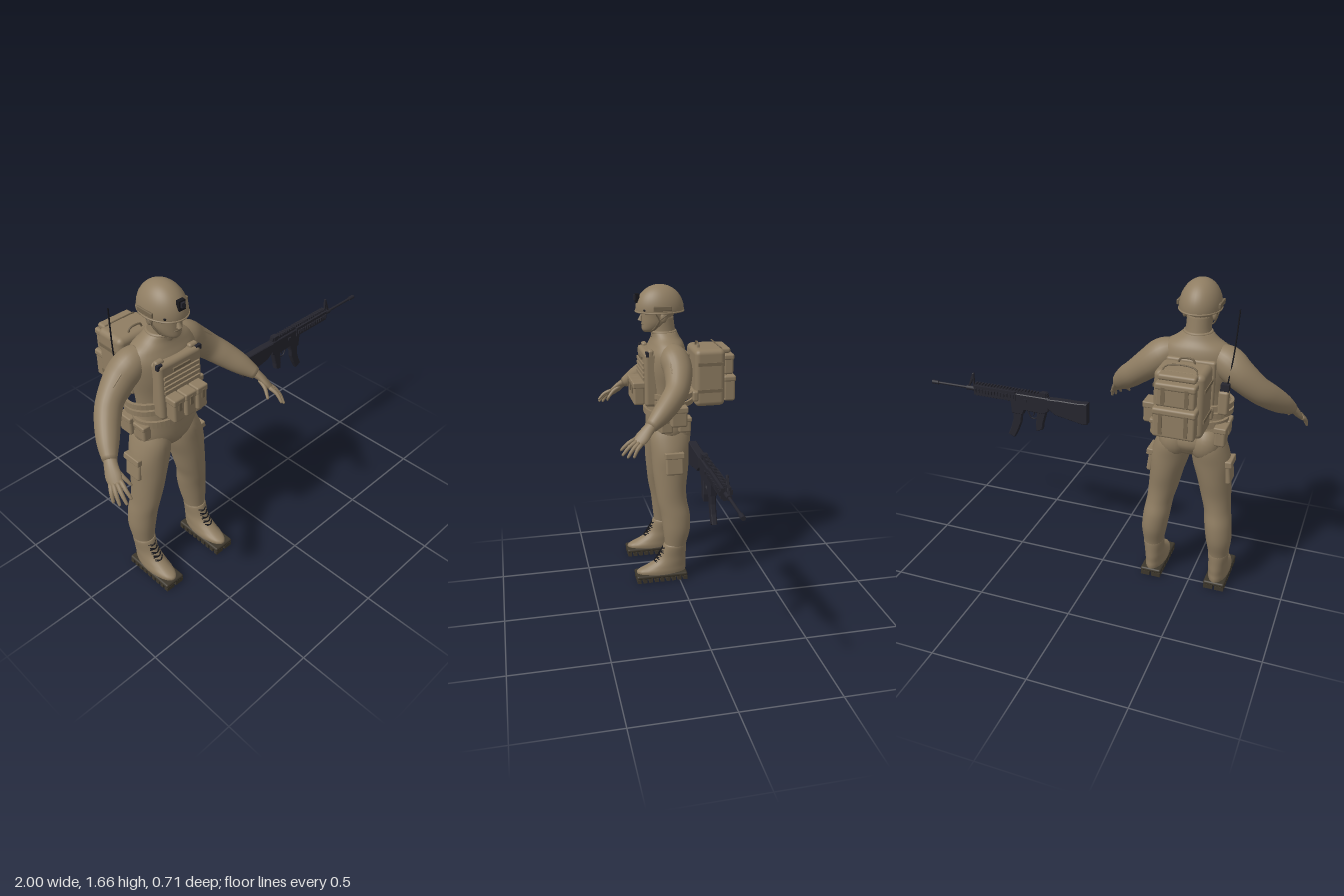
import * as THREE from 'three';
import { RoundedBoxGeometry } from 'three/addons/geometries/RoundedBoxGeometry.js';

const mat = (name, color) => Object.assign(new THREE.MeshStandardMaterial({ color }), { name });

export function createModel() {
  const tan = mat('tan cloth', 0x8f7d62), trim = mat('dark tan trim', 0x75664f), sole = mat('sole brown', 0x3d372c);
  const metal = mat('gunmetal', 0x25252e), black = mat('black', 0x16161b);
  const shell = mat('helmet tan', 0x8f7d62);
  shell.side = THREE.DoubleSide;

  const model = new THREE.Group(), soldier = new THREE.Group(), rifle = new THREE.Group();
  model.name = 'soldierAndRifle'; soldier.name = 'soldier'; rifle.name = 'rifle';
  soldier.position.x = -0.47;
  model.add(soldier, rifle);

  const add = (parent, name, geo, m, x = 0, y = 0, z = 0) => {
    const mesh = new THREE.Mesh(geo, m);
    mesh.name = name; mesh.position.set(x, y, z);
    parent.add(mesh);
    return mesh;
  };
  const box = (p, name, m, w, h, d, x, y, z) => add(p, name, new THREE.BoxGeometry(w, h, d), m, x, y, z);
  const soft = (p, name, m, w, h, d, x, y, z, r = 0.012) =>
    add(p, name, new RoundedBoxGeometry(w, h, d, 3, Math.min(r, w / 2.1, h / 2.1, d / 2.1)), m, x, y, z);
  const ball = (p, name, m, rx, ry, rz, x, y, z) =>
    add(p, name, new THREE.SphereGeometry(1, 20, 14).scale(rx, ry, rz), m, x, y, z);
  const tube = (p, name, m, pts, r, n = 16) =>
    add(p, name, new THREE.TubeGeometry(new THREE.CatmullRomCurve3(pts.map(q => new THREE.Vector3(...q))), n, r, 6), m);

  // Smooth skin over elliptical rings [x, y, z, radiusA, radiusB]; without a ref the rings stay level
  function sweep(rings, ref = null, seg = 24, steps = 5) {
    const path = new THREE.CatmullRomCurve3(rings.map(r => new THREE.Vector3(r[0], r[1], r[2])), false, 'catmullrom', 0.5);
    const size = new THREE.CatmullRomCurve3(rings.map(r => new THREE.Vector3(r[3], r[4], 0)), false, 'catmullrom', 0.5);
    const n = (rings.length - 1) * steps, pos = [], idx = [];
    const axis = ref ? new THREE.Vector3(...ref) : new THREE.Vector3(0, 0, 1);
    for (let i = 0; i <= n; i++) {
      const c = path.getPoint(i / n), s = size.getPoint(i / n);
      const t = ref ? path.getTangent(i / n) : new THREE.Vector3(0, 1, 0);
      const u = t.clone().cross(axis).normalize(), v = t.clone().cross(u);
      for (let j = 0; j < seg; j++) {
        const a = j / seg * Math.PI * 2;
        const q = c.clone().addScaledVector(u, s.x * Math.cos(a)).addScaledVector(v, s.y * Math.sin(a));
        pos.push(q.x, q.y, q.z);
        const k = (j + 1) % seg, A = i * seg + j, B = i * seg + k;
        if (i < n) idx.push(A, B, A + seg, B, B + seg, A + seg);
      }
    }
    const first = pos.length / 3, last = n * seg;
    pos.push(...path.getPoint(0).toArray(), ...path.getPoint(1).toArray());
    for (let j = 0; j < seg; j++) {
      const k = (j + 1) % seg;
      idx.push(first, k, j, first + 1, last + j, last + k);
    }
    const g = new THREE.BufferGeometry();
    g.setAttribute('position', new THREE.Float32BufferAttribute(pos, 3));
    g.setIndex(idx);
    g.computeVertexNormals();
    return g;
  }
  // Flat oval belt around the body
  function belt(name, y, h, rx, rz, z) {
    const s = new THREE.Shape().absellipse(0, 0, rx, rz, 0, Math.PI * 2);
    s.holes.push(new THREE.Path().absellipse(0, 0, rx - 0.015, rz - 0.015, 0, Math.PI * 2));
    const g = new THREE.ExtrudeGeometry(s, { depth: h, bevelEnabled: false, curveSegments: 24 }).rotateX(-Math.PI / 2);
    add(soldier, name, g, tan, 0, y, z);
  }
  // Side profile in x and y, given thickness in z
  function plate(p, name, m, pts, d, bevel = 0.004) {
    const g = new THREE.ExtrudeGeometry(new THREE.Shape(pts.map(q => new THREE.Vector2(...q))),
      { depth: d - 2 * bevel, bevelSize: bevel, bevelThickness: bevel, bevelOffset: -bevel, bevelSegments: 1 });
    return add(p, name, g.translate(0, 0, bevel - d / 2), m);
  }

  // Torso, neck and head
  add(soldier, 'torso', sweep([[0, 0.8, 0.025, 0.1, 0.085], [0, 0.86, 0.025, 0.17, 0.115], [0, 0.95, 0.037, 0.165, 0.107],
    [0, 1.02, 0.042, 0.155, 0.1], [0, 1.12, 0.04, 0.163, 0.1], [0, 1.22, 0.035, 0.18, 0.112], [0, 1.3, 0.03, 0.185, 0.108],
    [0, 1.35, 0.025, 0.16, 0.092], [0, 1.385, 0.03, 0.105, 0.076], [0, 1.415, 0.037, 0.07, 0.07]], null, 36), tan);
  add(soldier, 'neck', sweep([[0, 1.38, 0.037, 0.07, 0.07], [0, 1.43, 0.042, 0.061, 0.066], [0, 1.5, 0.045, 0.058, 0.06]]), tan);
  add(soldier, 'collar', new THREE.TorusGeometry(0.064, 0.009, 8, 28).rotateX(Math.PI / 2), tan, 0, 1.412, 0.038);
  add(soldier, 'head', sweep([[0, 1.413, 0.118, 0.022, 0.028], [0, 1.428, 0.1, 0.044, 0.057], [0, 1.46, 0.08, 0.061, 0.078],
    [0, 1.5, 0.07, 0.068, 0.088], [0, 1.55, 0.062, 0.075, 0.095], [0, 1.6, 0.06, 0.066, 0.082], [0, 1.64, 0.058, 0.03, 0.04]]), tan);
  const nose = add(soldier, 'nose', new THREE.ConeGeometry(0.015, 0.05, 8), tan, 0, 1.499, 0.16);
  nose.rotation.x = -0.2;
  ball(soldier, 'mouth', trim, 0.022, 0.005, 0.008, 0, 1.457, 0.153);

  // Helmet with rim, mount and chin strap
  add(soldier, 'helmetShell', new THREE.SphereGeometry(1, 36, 18, 0, Math.PI * 2, 0, Math.PI * 0.53).scale(0.101, 0.132, 0.132), shell, 0, 1.533, 0.058);
  add(soldier, 'helmetRim', new THREE.TorusGeometry(1, 0.04, 8, 36).rotateX(Math.PI / 2).scale(0.1, 0.11, 0.131), tan, 0, 1.524, 0.058);
  box(soldier, 'helmetMount', black, 0.036, 0.048, 0.02, 0, 1.595, 0.18);
  box(soldier, 'mountLatch', metal, 0.02, 0.025, 0.014, 0, 1.6, 0.193);
  for (const s of [1, -1]) {
    soft(soldier, 'helmetRail', trim, 0.012, 0.025, 0.1, s * 0.1, 1.55, 0.06, 0.004);
    ball(soldier, 'ear', tan, 0.012, 0.028, 0.018, s * 0.073, 1.497, 0.05);
    for (const z of [0.1, 0.01])
      tube(soldier, 'chinStrap', trim, [[s * 0.088, 1.53, z], [s * 0.078, 1.48, 0.075], [s * 0.055, 1.435, 0.1], [0, 1.412, 0.13]], 0.004);
    const lens = ball(soldier, 'goggleLens', black, 0.037, 0.019, 0.014, s * 0.039, 1.538, 0.157);
    lens.rotation.y = s * 0.35;
    tube(soldier, 'goggleArm', black, [[s * 0.07, 1.54, 0.145], [s * 0.08, 1.54, 0.1], [s * 0.076, 1.53, 0.04]], 0.005);
  }
  box(soldier, 'goggleBridge', black, 0.05, 0.012, 0.014, 0, 1.545, 0.163);

  for (const s of [1, -1]) {
    // Arm, hand and fingers
    const ref = [0.66 * s, 0.7, 0.3];
    add(soldier, 'arm', sweep([[0.1, 1.315, 0.02, 0.06, 0.06], [0.16, 1.285, 0.01, 0.078, 0.08], [0.22, 1.235, 0.003, 0.076, 0.076],
      [0.3, 1.165, 0.025, 0.064, 0.066], [0.355, 1.115, 0.07, 0.06, 0.062], [0.41, 1.06, 0.135, 0.051, 0.051], [0.452, 1.015, 0.195, 0.033, 0.03]]
      .map(r => [s * r[0], ...r.slice(1)]), ref), tan);
    add(soldier, 'palm', sweep([[0.443, 1.025, 0.183, 0.03, 0.026], [0.462, 1.0, 0.215, 0.033, 0.02], [0.476, 0.97, 0.245, 0.038, 0.017],
      [0.487, 0.945, 0.272, 0.03, 0.012]].map(r => [s * r[0], ...r.slice(1)]), ref, 16), tan);
    const fingers = [[0.5, 0.945, 0.25, 0.525, 0.888, 0.295], [0.492, 0.95, 0.262, 0.515, 0.885, 0.325],
      [0.48, 0.955, 0.273, 0.495, 0.893, 0.348], [0.466, 0.963, 0.28, 0.472, 0.912, 0.352], [0.45, 0.99, 0.225, 0.43, 0.93, 0.3]];
    fingers.forEach(([a, b, c, d, e, f], i) => add(soldier, i < 4 ? 'finger' : 'thumb', sweep([[s * a, b, c, 0.011, 0.011],
      [s * ((a + d) / 2 + 0.005), (b + e) / 2 + 0.006, (c + f) / 2 + 0.004, 0.01, 0.01],
      [s * d, e, f, 0.007, 0.007], [s * (d + 0.001), e - 0.004, f + 0.003, 0.002, 0.002]], ref, 10, 3), tan));
    const patch = soft(soldier, 'sleevePocket', tan, 0.012, 0.09, 0.075, s * 0.262, 1.272, 0.015, 0.004);
    patch.rotation.z = s * 0.82;

    // Leg with thigh pocket
    add(soldier, 'leg', sweep([[0.176, 0.14, 0.017, 0.045, 0.058], [0.178, 0.21, 0.015, 0.053, 0.061], [0.175, 0.3, 0.008, 0.066, 0.077],
      [0.165, 0.39, 0.012, 0.07, 0.083], [0.154, 0.47, 0.027, 0.069, 0.084], [0.14, 0.55, 0.033, 0.077, 0.088], [0.125, 0.65, 0.031, 0.086, 0.1],
      [0.108, 0.75, 0.028, 0.098, 0.107], [0.092, 0.84, 0.024, 0.088, 0.112], [0.08, 0.91, 0.025, 0.07, 0.09]]
      .map(r => [s * r[0], ...r.slice(1)]), null, 28), tan);
    ball(soldier, 'seat', tan, 0.078, 0.095, 0.075, s * 0.08, 0.855, -0.02);
    const pocket = soft(soldier, 'thighPocket', tan, 0.03, 0.12, 0.1, s * 0.2, 0.705, 0.022);
    const flap = soft(soldier, 'thighPocketFlap', tan, 0.036, 0.035, 0.108, s * 0.203, 0.757, 0.022, 0.006);
    pocket.rotation.z = flap.rotation.z = s * 0.12;

    // Boot, sole and laces
    add(soldier, 'boot', sweep([[0.176, 0.035, 0.1, 0.054, 0.14], [0.176, 0.06, 0.098, 0.056, 0.142], [0.176, 0.085, 0.072, 0.053, 0.115],
      [0.176, 0.115, 0.045, 0.051, 0.09], [0.177, 0.15, 0.03, 0.05, 0.075], [0.178, 0.205, 0.02, 0.055, 0.066], [0.178, 0.218, 0.02, 0.05, 0.06]]
      .map(r => [s * r[0], ...r.slice(1)])), tan);
    soft(soldier, 'sole', sole, 0.114, 0.022, 0.295, s * 0.176, 0.034, 0.1025, 0.01);
    for (let i = 0; i < 9; i++)
      for (const k of [-1, 1]) box(soldier, 'tread', sole, 0.048, 0.024, 0.022, s * 0.176 + k * 0.03, 0.012, -0.032 + i * 0.0335);
    for (let i = 0; i < 5; i++) {
      const y = 0.115 + i * 0.019, z = 0.141 - i * 0.012, x = s * 0.177;
      for (const k of [-1, 1]) tube(soldier, 'lace', black, [[x - 0.025, y - k * 0.007, z - 0.015], [x, y, z], [x + 0.025, y + k * 0.007, z - 0.015]], 0.003, 6);
    }
    // Vest clips
    box(soldier, 'vestClip', metal, 0.03, 0.025, 0.016, s * 0.115, 1.312, 0.15);
    soft(soldier, 'shoulderStrap', tan, 0.05, 0.06, 0.03, s * 0.1, 1.305, 0.13);
  }

  // Vest with webbing and magazine pouches
  soft(soldier, 'vestFront', tan, 0.25, 0.3, 0.075, 0, 1.17, 0.128, 0.02);
  soft(soldier, 'vestBack', tan, 0.24, 0.26, 0.03, 0, 1.18, -0.068);
  for (let i = 0; i < 5; i++) box(soldier, 'webbing', i ? tan : trim, i ? 0.21 : 0.1, 0.014, 0.012, 0, 1.278 - i * 0.026, 0.168);
  for (let i = -1; i <= 1; i++) {
    soft(soldier, 'magazinePouch', tan, 0.062, 0.115, 0.062, i * 0.07, 1.085, 0.194);
    soft(soldier, 'pouchFlap', tan, 0.066, 0.035, 0.068, i * 0.07, 1.138, 0.195, 0.008);
    box(soldier, 'pouchTab', trim, 0.016, 0.045, 0.008, i * 0.07, 1.115, 0.228);
  }
  for (const y of [1.066, 1.028]) belt('packBelt', y, 0.027, 0.2, 0.135, 0.01);
  belt('waistBelt', 0.955, 0.035, 0.176, 0.12, 0.035);

  // Hip pouches
  for (const [x, y, z, w, h, d] of [[0.205, 0.985, 0.0, 0.07, 0.11, 0.09], [0.165, 0.925, 0.06, 0.055, 0.085, 0.07], [0.165, 0.925, -0.04, 0.055, 0.085, 0.07],
    [-0.16, 0.93, 0.06, 0.05, 0.085, 0.07], [-0.16, 0.925, -0.04, 0.055, 0.1, 0.08]]) {
    soft(soldier, 'hipPouch', tan, w, h, d, x, y, z);
    soft(soldier, 'hipPouchFlap', tan, w + 0.008, h * 0.3, d + 0.008, x, y + h * 0.37, z, 0.007);
  }

  // Radio with antenna
  soft(soldier, 'radioPouch', tan, 0.05, 0.12, 0.045, -0.17, 1.12, -0.085);
  box(soldier, 'radio', metal, 0.04, 0.035, 0.034, -0.172, 1.195, -0.08);
  tube(soldier, 'antenna', black, [[-0.18, 1.2, -0.075], [-0.198, 1.36, -0.062], [-0.209, 1.57, -0.05]], 0.0035);

  // Backpack
  soft(soldier, 'packBody', tan, 0.24, 0.32, 0.17, 0, 1.16, -0.2, 0.028);
  soft(soldier, 'packFrame', tan, 0.26, 0.06, 0.035, 0, 1.065, -0.115);
  for (const [y, w, h, d] of [[1.225, 0.185, 0.11, 0.055], [1.09, 0.2, 0.14, 0.065]]) {
    soft(soldier, 'packPocket', tan, w, h, d, 0, y, -0.283 - d / 2);
    soft(soldier, 'packPocketFlap', tan, w + 0.008, 0.035, d + 0.008, 0, y + h / 2 - 0.012, -0.283 - d / 2);
    for (const s of [1, -1]) box(soldier, 'packBuckle', trim, 0.018, h * 0.75, 0.006, s * w * 0.3, y, -0.286 - d);
  }
  for (const s of [1, -1]) {
    box(soldier, 'packStrap', trim, 0.006, 0.018, 0.14, s * 0.121, 1.24, -0.2);
    box(soldier, 'packStrap', trim, 0.006, 0.018, 0.14, s * 0.121, 1.09, -0.2);
  }
  soft(soldier, 'packTopRoll', tan, 0.18, 0.03, 0.06, 0, 1.305, -0.29);
  tube(soldier, 'packHandle', trim, [[-0.04, 1.315, -0.15], [-0.03, 1.338, -0.15], [0.03, 1.338, -0.15], [0.04, 1.315, -0.15]], 0.005);
  tube(soldier, 'packLoop', trim, [[-0.085, 1.3, -0.29], [-0.07, 1.335, -0.25], [0.07, 1.335, -0.25], [0.085, 1.3, -0.29]], 0.004);

  // Rifle stock, receiver, grip and magazine
  plate(rifle, 'stock', metal, [[0.08, 0.96], [0.08, 0.842], [0.1, 0.838], [0.26, 0.868], [0.305, 0.9], [0.305, 0.952], [0.24, 0.955], [0.13, 0.955]], 0.042);
  plate(rifle, 'receiver', metal, [[0.3, 0.955], [0.3, 0.88], [0.33, 0.86], [0.44, 0.865], [0.45, 0.838], [0.515, 0.838], [0.52, 0.905], [0.52, 0.955]], 0.036);
  plate(rifle, 'pistolGrip', metal, [[0.315, 0.87], [0.335, 0.8], [0.34, 0.765], [0.375, 0.752], [0.378, 0.79], [0.365, 0.87]], 0.03);
  plate(rifle, 'magazine', metal, [[0.457, 0.842], [0.465, 0.785], [0.485, 0.735], [0.508, 0.69], [0.545, 0.706], [0.525, 0.75], [0.512, 0.795], [0.508, 0.842]], 0.026);
  tube(rifle, 'triggerGuard', metal, [[0.365, 0.865], [0.375, 0.825], [0.405, 0.82], [0.43, 0.865]], 0.004);
  tube(rifle, 'trigger', metal, [[0.395, 0.865], [0.39, 0.85], [0.396, 0.835]], 0.004, 6);

  // Handguard with rails on four sides
  box(rifle, 'handguard', metal, 0.245, 0.052, 0.046, 0.61, 0.94, 0);
  box(rifle, 'topRail', metal, 0.43, 0.012, 0.022, 0.52, 0.962, 0);
  for (let i = 0; i < 24; i++) box(rifle, 'topRailTooth', metal, 0.009, 0.012, 0.024, 0.312 + i * 0.018, 0.972, 0);
  for (let i = 0; i < 13; i++) {
    const x = 0.5 + i * 0.0185;
    box(rifle, 'sideRailTooth', metal, 0.01, 0.022, 0.062, x, 0.94, 0);
    box(rifle, 'lowerRailTooth', metal, 0.01, 0.012, 0.024, x, 0.91, 0);
  }
  box(rifle, 'rearSight', metal, 0.03, 0.025, 0.03, 0.33, 0.968, 0);
  box(rifle, 'boltKnob', metal, 0.02, 0.014, 0.05, 0.43, 0.925, 0);

  // Barrel, muzzle and front sight
  const rod = (name, r, x0, x1) => add(rifle, name, new THREE.CylinderGeometry(r, r, x1 - x0, 14).rotateZ(Math.PI / 2), metal, (x0 + x1) / 2, 0.94, 0);
  rod('barrel', 0.007, 0.72, 0.98);
  rod('gasBlock', 0.013, 0.735, 0.785);
  rod('muzzle', 0.011, 0.962, 1.0);
  plate(rifle, 'frontSight', metal, [[0.738, 0.945], [0.738, 1.03], [0.746, 1.03], [0.778, 0.945], [0.768, 0.945], [0.747, 0.995], [0.747, 0.945]], 0.012, 0.001);

  return model;
}
